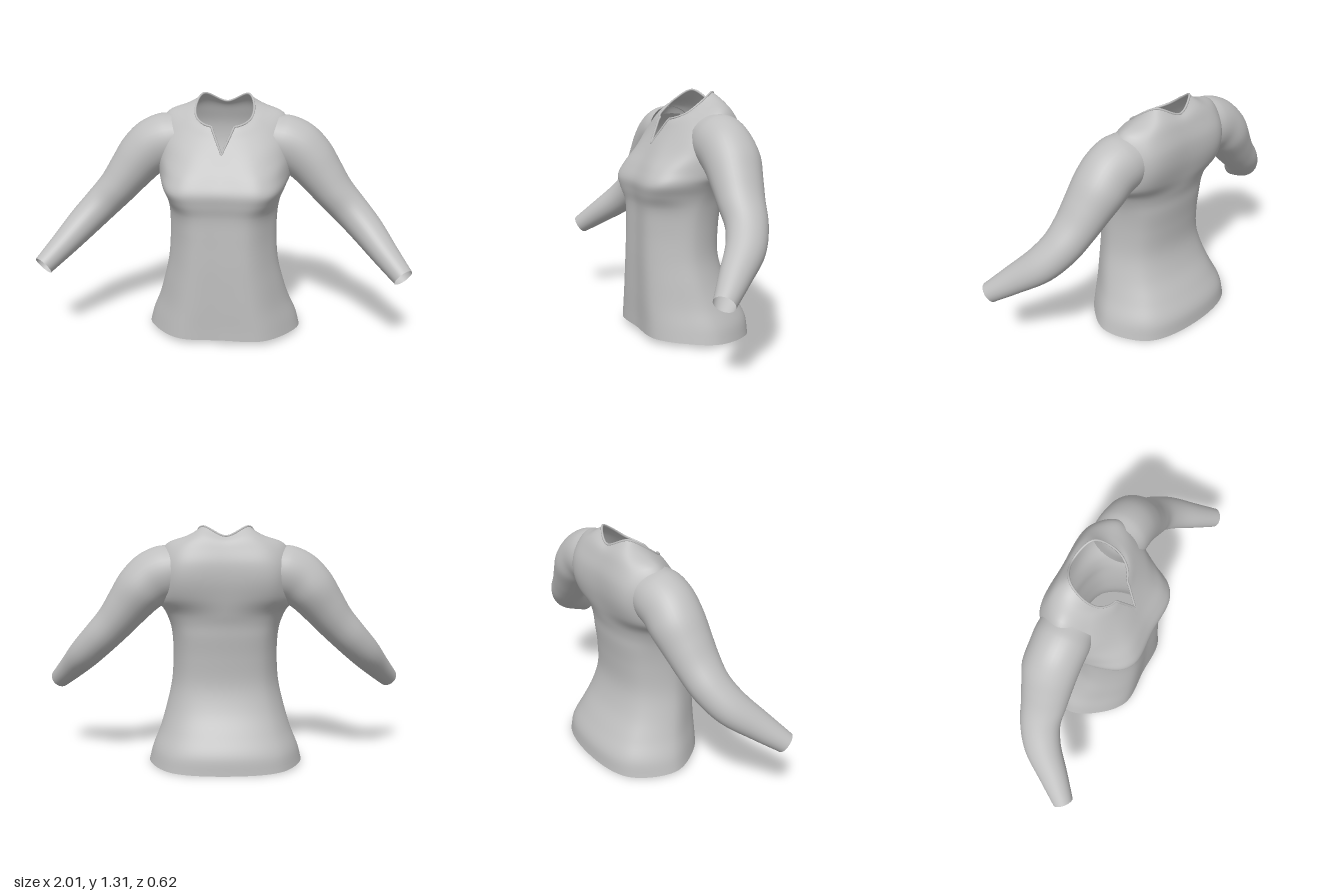
import * as THREE from 'three';

const fabric = new THREE.MeshStandardMaterial({ color: 0xbfbfbf, side: THREE.DoubleSide });
fabric.name = 'grey fabric';

const V = (x, y, z) => new THREE.Vector3(x, y, z);

// Smooth skin over a grid of points: rows of closed rings, with optional openings
function skin(rows, isOpen = () => false) {
  const n = rows[0].length, index = [], points = rows.flat();
  for (let j = 0; j < rows.length - 1; j++) {
    for (let i = 0; i < n; i++) {
      const a = j * n + i, b = j * n + (i + 1) % n;
      if ([a, b, a + n, b + n].every((k) => isOpen(points[k]))) continue;
      index.push(a, b, b + n, a, b + n, a + n);
    }
  }
  const geo = new THREE.BufferGeometry().setFromPoints(points);
  geo.setIndex(index);
  geo.computeVertexNormals();
  return geo;
}

// Run smooth curves around and between the control rings
function loft(rings, around, between) {
  const rounds = rings.map((ring) => {
    const c = new THREE.CatmullRomCurve3(ring, true);
    return Array.from({ length: around }, (_, i) => c.getPoint(i / around));
  });
  const columns = rounds[0].map((_, i) => new THREE.CatmullRomCurve3(rounds.map((r) => r[i])));
  const steps = (rings.length - 1) * between;
  return Array.from({ length: steps + 1 }, (_, j) => columns.map((c) => c.getPoint(j / steps)));
}

// Half ring (front centre to back centre) completed on the other side
const mirrorRing = (half) => [
  ...half,
  ...half.slice(1, -1).reverse().map((p) => V(-p.x, p.y, p.z)),
];

// Body: height, half width, front z, back z, bust fullness
const bodyRows = [
  [0.02, 0.423, 0.28, -0.31, 0],
  [0.1, 0.402, 0.28, -0.3, 0],
  [0.2, 0.362, 0.282, -0.25, 0],
  [0.32, 0.327, 0.283, -0.187, 0],
  [0.45, 0.298, 0.283, -0.152, 0],
  [0.6, 0.288, 0.28, -0.157, 0],
  [0.72, 0.292, 0.28, -0.172, 0.2],
  [0.79, 0.304, 0.293, -0.18, 0.8],
  [0.85, 0.328, 0.297, -0.195, 1],
];
// Yoke: front, front mid, front corner, side, back corner, back
const yokeRows = [
  [[0, 0.92, 0.262], [0.2, 0.92, 0.26], [0.295, 0.92, 0.175], [0.358, 0.91, -0.06], [0.255, 0.93, -0.19], [0, 0.93, -0.215]],
  [[0, 0.99, 0.217], [0.175, 0.99, 0.208], [0.305, 1.0, 0.115], [0.368, 1.02, -0.06], [0.265, 1.03, -0.215], [0, 1.03, -0.232]],
  [[0, 1.06, 0.175], [0.155, 1.06, 0.16], [0.295, 1.09, 0.075], [0.365, 1.12, -0.06], [0.26, 1.12, -0.212], [0, 1.12, -0.23]],
  [[0, 1.11, 0.145], [0.13, 1.12, 0.125], [0.24, 1.16, 0.055], [0.312, 1.218, -0.07], [0.23, 1.205, -0.185], [0, 1.19, -0.21]],
  [[0, 1.15, 0.122], [0.1, 1.155, 0.11], [0.18, 1.2, 0.045], [0.22, 1.25, -0.06], [0.16, 1.265, -0.16], [0, 1.235, -0.19]],
  [[0, 1.17, 0.11], [0.087, 1.177, 0.096], [0.142, 1.205, 0.045], [0.155, 1.26, -0.03], [0.12, 1.31, -0.115], [0, 1.26, -0.165]],
];

function bodyRing([y, w, f, b, bust]) {
  const zc = (f + b) / 2;
  const half = [
    V(0, y, f),
    V((0.52 + 0.11 * bust) * w, y, f - 0.006 + 0.005 * bust),
    V((0.84 + 0.03 * bust) * w, y, zc + (0.56 + 0.17 * bust) * (f - zc)),
    V(w, y, zc - 0.05 * bust),
    V(0.72 * w, y, zc + 0.77 * (b - zc)),
    V(0, y, b),
  ];
  if (y < 0.05) half.forEach((p) => { p.y += 0.045 * p.z; }); // hem dips at the back
  return mirrorRing(half);
}

function torsoRows() {
  const rings = [
    ...bodyRows.map(bodyRing),
    ...yokeRows.map((row) => mirrorRing(row.map((p) => V(...p)))),
  ];
  const rows = loft(rings, 120, 5);
  // V notch cut into the front of the neckline
  rows.flat().forEach((p) => {
    const edge = 1.04 + 2.2 * Math.abs(p.x);
    if (p.z > 0 && p.y > edge && Math.abs(p.x) < 0.06) {
      p.y = edge;
      p.z = 0.11 + (1.17 - edge) * 0.58;
    }
  });
  return rows;
}

// Armhole, hidden beneath the top of the sleeve
const inArmhole = (p) => Math.abs(p.x) > 0.31 && p.y > 0.95 && p.y < 1.18 && p.z < 0.06 && p.z > -0.17;

// Sleeve: centre x, y, z, half height, half depth; the first rings tuck under the yoke
const sleeveRows = [
  [0.255, 1.08, -0.06, 0.135, 0.14],
  [0.315, 1.063, -0.057, 0.15, 0.147],
  [0.39, 1.03, -0.055, 0.149, 0.146],
  [0.46, 0.97, -0.055, 0.138, 0.146],
  [0.53, 0.883, -0.042, 0.121, 0.133],
  [0.6, 0.795, -0.028, 0.106, 0.12],
  [0.685, 0.705, -0.008, 0.097, 0.107],
  [0.775, 0.613, 0.05, 0.088, 0.098],
  [0.87, 0.513, 0.16, 0.071, 0.077],
  [0.957, 0.425, 0.26, 0.055, 0.055],
];

function sleeveRings(side) {
  const path = new THREE.CatmullRomCurve3(sleeveRows.map(([x, y, z]) => V(x, y, z)));
  return sleeveRows.map(([x, y, z, h, d], k) => {
    const t = path.getTangent(k / (sleeveRows.length - 1));
    const up = V(-t.y, t.x, 0).normalize();
    const fore = t.clone().cross(up);
    return Array.from({ length: 12 }, (_, i) => {
      const a = side * i / 12 * Math.PI * 2;
      const p = V(x, y, z).addScaledVector(up, h * Math.cos(a)).addScaledVector(fore, d * Math.sin(a));
      p.x *= side;
      return p;
    });
  });
}

export function createModel() {
  const group = new THREE.Group();
  group.name = 'longSleeveTop';
  const add = (name, geo) => {
    const mesh = new THREE.Mesh(geo, fabric);
    mesh.name = name;
    group.add(mesh);
  };

  const rows = torsoRows();
  add('torso', skin(rows, inArmhole));

  // Narrow rolled trim along the neckline
  const edge = rows[rows.length - 1].filter((p, i, all) => i === 0 || p.distanceTo(all[i - 1]) > 0.002);
  add('neckTrim', new THREE.TubeGeometry(new THREE.CatmullRomCurve3(edge, true), 160, 0.006, 6, true));

  for (const side of [1, -1]) {
    add(side > 0 ? 'leftSleeve' : 'rightSleeve', skin(loft(sleeveRings(side), 36, 5)));
  }
  return group;
}
